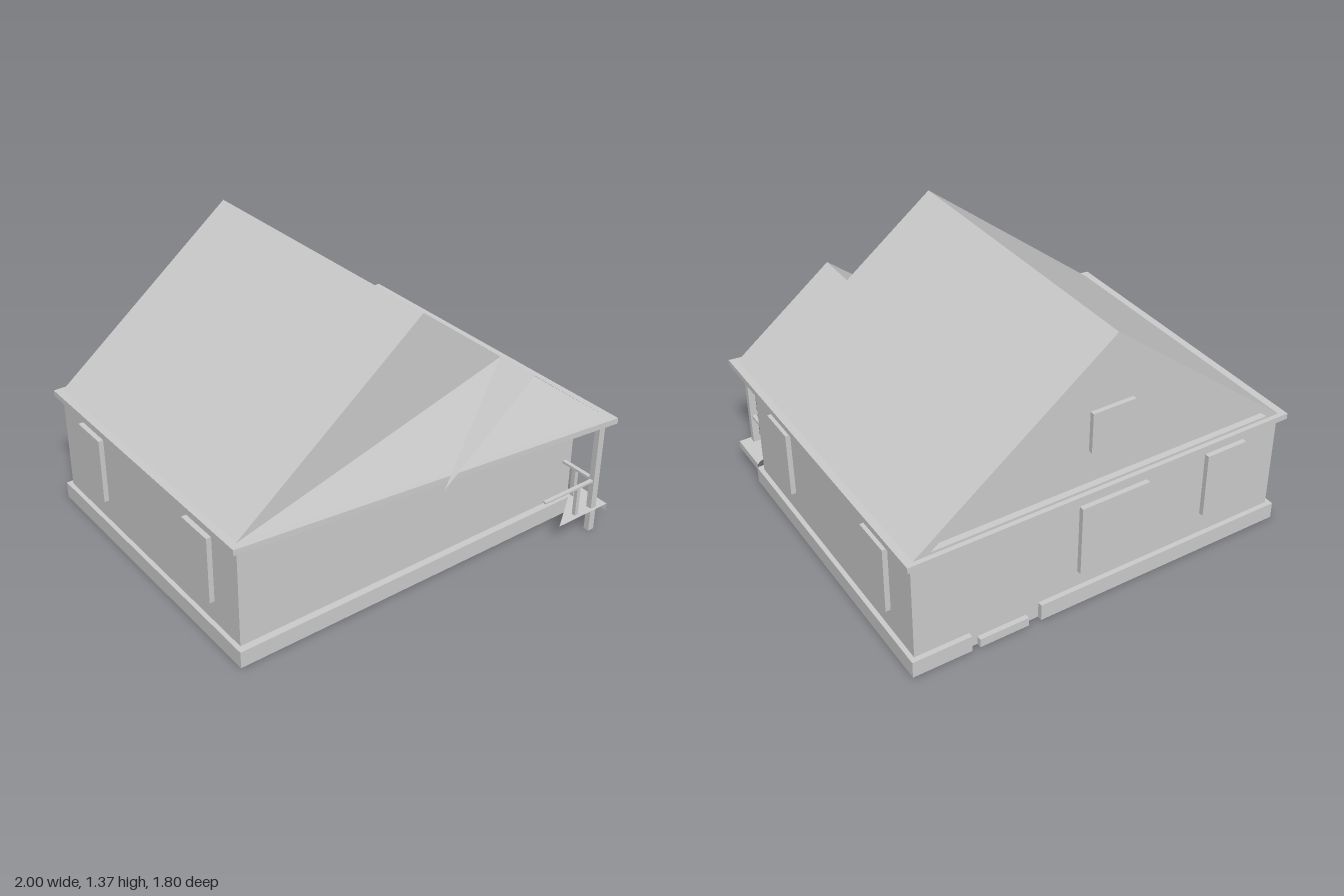
import * as THREE from 'three';

const grey = new THREE.MeshStandardMaterial({ color: 0xcccccc, flatShading: true, side: THREE.DoubleSide });

// Thin surface made of flat convex polygons, each a list of [x, y, z] corners
function sheet(name, polygons) {
  const pos = [];
  for (const p of polygons)
    for (let i = 1; i < p.length - 1; i++) pos.push(...p[0], ...p[i], ...p[i + 1]);
  const geo = new THREE.BufferGeometry();
  geo.setAttribute('position', new THREE.Float32BufferAttribute(pos, 3));
  geo.computeVertexNormals();
  const mesh = new THREE.Mesh(geo, grey);
  mesh.name = name;
  return mesh;
}

// Box given by its low and high corners
function block(name, [x0, y0, z0], [x1, y1, z1]) {
  const mesh = new THREE.Mesh(new THREE.BoxGeometry(x1 - x0, y1 - y0, z1 - z0), grey);
  mesh.position.set((x0 + x1) / 2, (y0 + y1) / 2, (z0 + z1) / 2);
  mesh.name = name;
  return mesh;
}

const outline = (pts) => new THREE.Shape(pts.map(([x, y]) => new THREE.Vector2(x, y)));
const wallAt = (x0, z0, x1, z1, y0, y1) => [[x0, y0, z0], [x1, y0, z1], [x1, y1, z1], [x0, y1, z0]];

export function createModel() {
  const house = new THREE.Group();
  house.name = 'house';
  const add = (...m) => house.add(...m);

  // Walls, open below
  const W = 0.97, ZF = 0.665, ZB = -0.865, Y0 = 0.085, Y1 = 0.59;
  add(sheet('walls', [
    wallAt(-W, ZF, W, ZF, Y0, Y1),
    wallAt(W, ZF, W, ZB, Y0, Y1),
    wallAt(W, ZB, -W, ZB, Y0, Y1),
    wallAt(-W, ZB, -W, ZF, Y0, Y1),
    wallAt(0.7, ZB, 0.345, ZB, 0, Y0),
  ]));

  // Plinth skirt with a ledge, broken at the back entrance
  const B = 0.993, BF = 0.7, BB = -0.89;
  const ledge = (x0, z0, x1, z1) => [[x0, Y0, z0], [x0, Y0, z1], [x1, Y0, z1], [x1, Y0, z0]];
  add(sheet('plinth', [
    wallAt(-B, BF, B, BF, 0, Y0),
    wallAt(B, BF, B, BB, 0, Y0),
    wallAt(-B, BB, -B, BF, 0, Y0),
    wallAt(B, BB, 0.7, BB, 0, Y0),
    wallAt(0.345, BB, -B, BB, 0, Y0),
    wallAt(0.7, BB, 0.7, ZB, 0, Y0),
    wallAt(0.345, BB, 0.345, ZB, 0, Y0),
    ledge(-B, ZF, B, BF),
    ledge(W, ZB, B, ZF),
    ledge(-B, ZB, -W, ZF),
    ledge(0.7, BB, B, ZB),
    ledge(-B, BB, 0.345, ZB),
  ]));
  add(block('backStep', [0.41, 0, -0.89], [0.66, 0.045, ZB]));

  // Eave slab with its slanted front edge; also the ceiling
  const eave = new THREE.Mesh(new THREE.ExtrudeGeometry(
    outline([[-1, -0.69], [1, -0.9], [1, 0.9], [-1, 0.9]]),
    { depth: 0.03, bevelEnabled: false }), grey);
  eave.rotation.x = -Math.PI / 2;
  eave.position.y = 0.587;
  eave.name = 'eave';
  add(eave);

  // Roof: main slopes, the right one running on over the porch
  const E = 0.965, YE = 0.615, RB = -0.877, RF = 0.655, PF = 0.87;
  const ridge = [-0.01, 1.37], peak = [0.45, 1.015];
  add(sheet('leftRoof', [
    [[-E, YE, RB], [-E, YE, RF], [...ridge, RF], [...ridge, RB]],
  ]));
  add(sheet('rightRoof', [
    [[...ridge, RB], [...ridge, RF], [...peak, RF], [...peak, RB]],
    [[...peak, RB], [...peak, PF], [E, YE, PF], [E, YE, RB]],
  ]));
  add(sheet('porchRoof', [[[...peak, RF], [-0.04, YE, PF], [...peak, PF]]]));

  // Front gable: upright upper part, leaning lower part
  add(sheet('frontGable', [
    [[-E, YE, RF], [...peak, RF], [...ridge, RF]],
    [[-E, YE, RF], [E, YE, PF], [...peak, RF]],
  ]));

  // Back gable, set in behind a rake trim
  const rake = outline([[-E, YE], [E, YE], ridge]);
  rake.holes.push(new THREE.Path([[-0.89, 0.63], ridge.map((v, i) => v - 0.045 * i), [0.88, 0.63]]
    .map(([x, y]) => new THREE.Vector2(x, y))));
  const trim = new THREE.Mesh(new THREE.ExtrudeGeometry(rake, { depth: 0.035, bevelEnabled: false }), grey);
  trim.position.z = RB;
  trim.name = 'backRakeTrim';
  add(trim);
  add(sheet('backGable', [[[E - 0.02, YE, -0.845], [-E + 0.02, YE, -0.845], [ridge[0], ridge[1] - 0.02, -0.845]]]));

  // Windows
  for (const side of [-1, 1])
    for (const [z0, z1] of [[0.27, 0.47], [-0.67, -0.47]]) {
      const x = [W * side, 0.995 * side].sort((a, b) => a - b);
      add(block('sideWindow', [x[0], 0.2, z0], [x[1], 0.54, z1]));
    }
  add(block('backWideWindow', [-0.22, 0.17, -0.89], [0.14, 0.535, ZB]));
  add(block('backWindow', [-0.77, 0.2, -0.89], [-0.55, 0.54, ZB]));
  add(block('gableWindow', [-0.13, 0.8, -0.867], [0.09, 1.0, -0.845]));

  // Porch deck: triangular floor and its side board
  const deck = (y) => [[0.68, y, 0.895], [1, y, 0.895], [1, y, ZF]];
  add(sheet('porchDeck', [deck(0.13), wallAt(1, 0.895, 1, ZF, 0.09, 0.13)]));

  // Porch post, rails and balusters
  add(block('porchPost', [0.905, 0, 0.85], [0.94, Y1, 0.88]));
  add(block('frontRail', [0.595, 0.28, 0.855], [0.905, 0.29, 0.875]));
  add(block('sideRail', [0.912, 0.277, ZF], [0.933, 0.29, 0.85]));
  add(block('frontBaluster', [0.802, 0.12, 0.855], [0.823, 0.28, 0.875]));
  add(block('sideBaluster', [0.912, 0.13, 0.73], [0.933, 0.277, 0.753]));

  return house;
}
